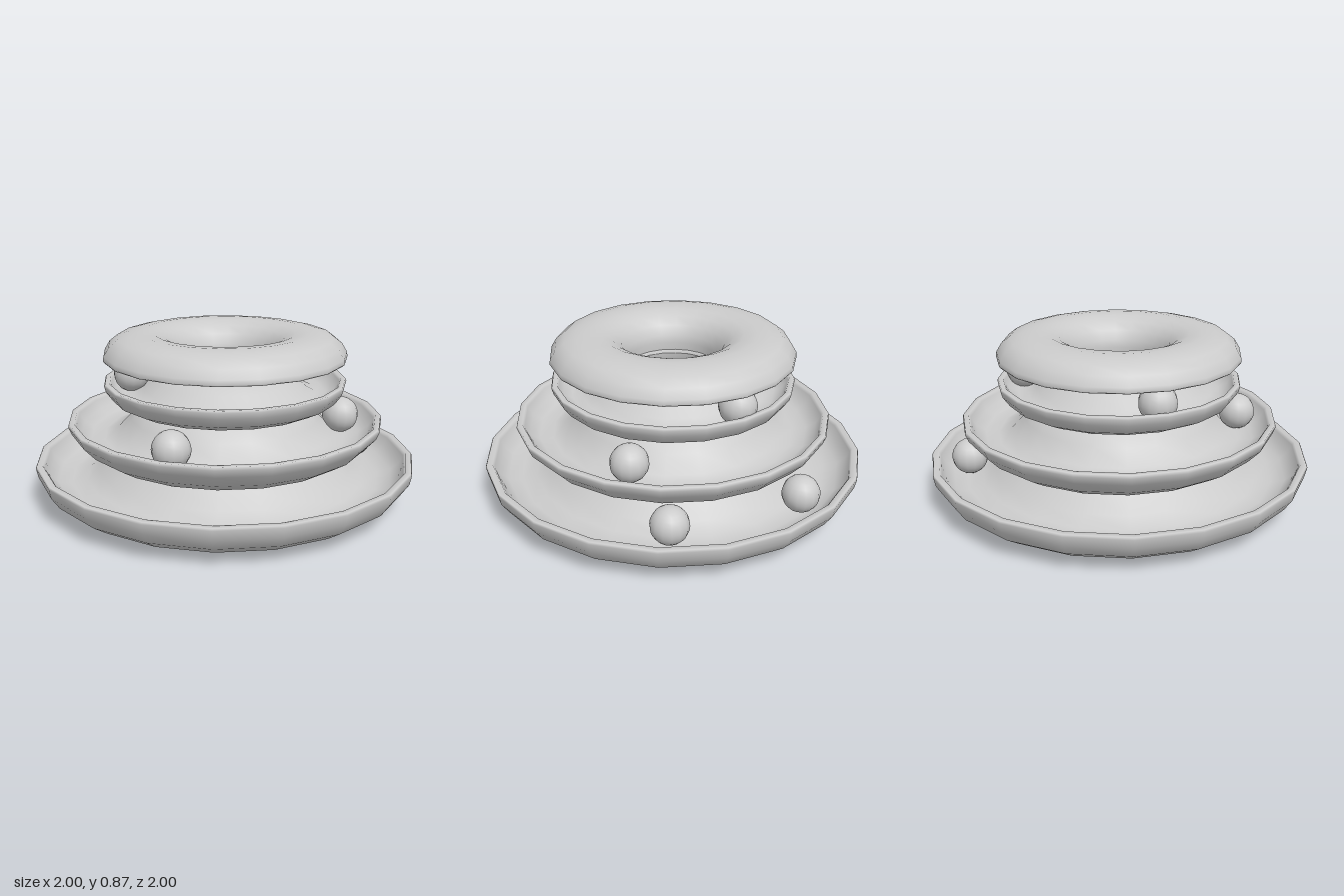
import * as THREE from 'three';

const material = new THREE.MeshStandardMaterial({ color: 0xcccccc, side: THREE.DoubleSide });
const SIDES = 20;

// Closed ring turned from [radius, height] pairs, listed counter-clockwise
function ring(name, profile) {
  const points = [...profile, profile[0]].map(([r, y]) => new THREE.Vector2(r, y));
  const mesh = new THREE.Mesh(new THREE.LatheGeometry(points, SIDES), material);
  mesh.name = name;
  return mesh;
}

export function createModel() {
  const group = new THREE.Group();
  group.name = 'ballTrackTower';

  // Each tray: rounded underside, outer wall and lip, ball channel, neck
  group.add(ring('bottomTray', [
    [0.37, 0.23], [0.39, 0.155], [0.45, 0.075], [0.53, 0.025], [0.61, 0.005], [0.69, 0],
    [0.78, 0.01], [0.87, 0.04], [0.95, 0.095], [0.99, 0.155], [1, 0.205],
    [0.995, 0.215], [0.965, 0.215], [0.955, 0.2],
    [0.935, 0.16], [0.89, 0.12], [0.82, 0.1], [0.74, 0.11], [0.67, 0.15],
    [0.6, 0.215], [0.55, 0.25], [0.46, 0.275], [0.39, 0.275],
  ]));
  group.add(ring('middleTray', [
    [0.31, 0.46], [0.33, 0.375], [0.39, 0.3], [0.47, 0.255], [0.57, 0.24],
    [0.67, 0.255], [0.75, 0.305], [0.81, 0.37], [0.826, 0.41],
    [0.822, 0.425], [0.795, 0.425], [0.785, 0.41],
    [0.76, 0.365], [0.71, 0.335], [0.64, 0.325], [0.57, 0.345],
    [0.5, 0.42], [0.45, 0.485], [0.39, 0.505], [0.325, 0.505],
  ]));
  group.add(ring('topTray', [
    [0.235, 0.65], [0.245, 0.58], [0.29, 0.525], [0.36, 0.495], [0.435, 0.49],
    [0.52, 0.495], [0.59, 0.53], [0.626, 0.58], [0.635, 0.612],
    [0.63, 0.622], [0.605, 0.622], [0.598, 0.61],
    [0.575, 0.57], [0.53, 0.548], [0.48, 0.55], [0.43, 0.575],
    [0.38, 0.62], [0.3, 0.672], [0.24, 0.672],
  ]));

  // Hollow cap with a rounded top and a funnel down to the top tray
  group.add(ring('cap', [
    [0.237, 0.67], [0.3, 0.672], [0.38, 0.735], [0.42, 0.78], [0.48, 0.805], [0.55, 0.79],
    [0.59, 0.755], [0.6, 0.735], [0.63, 0.735], [0.635, 0.742],
    [0.632, 0.765], [0.605, 0.81], [0.56, 0.845], [0.5, 0.86], [0.435, 0.867],
    [0.365, 0.86], [0.31, 0.838], [0.265, 0.8], [0.24, 0.75], [0.235, 0.71],
  ]));

  // Two balls in each channel
  const ballGeometry = new THREE.SphereGeometry(0.095, 14, 14);
  [
    [0.64, 0.2, 0.42], [0.75, 0.2, -0.27],
    [-0.605, 0.42, 0.17], [0.38, 0.42, 0.48],
    [0.51, 0.635, -0.045], [-0.29, 0.635, -0.4],
  ].forEach((p, i) => {
    const ball = new THREE.Mesh(ballGeometry, material);
    ball.name = `ball${i + 1}`;
    ball.position.set(...p);
    group.add(ball);
  });

  return group;
}
